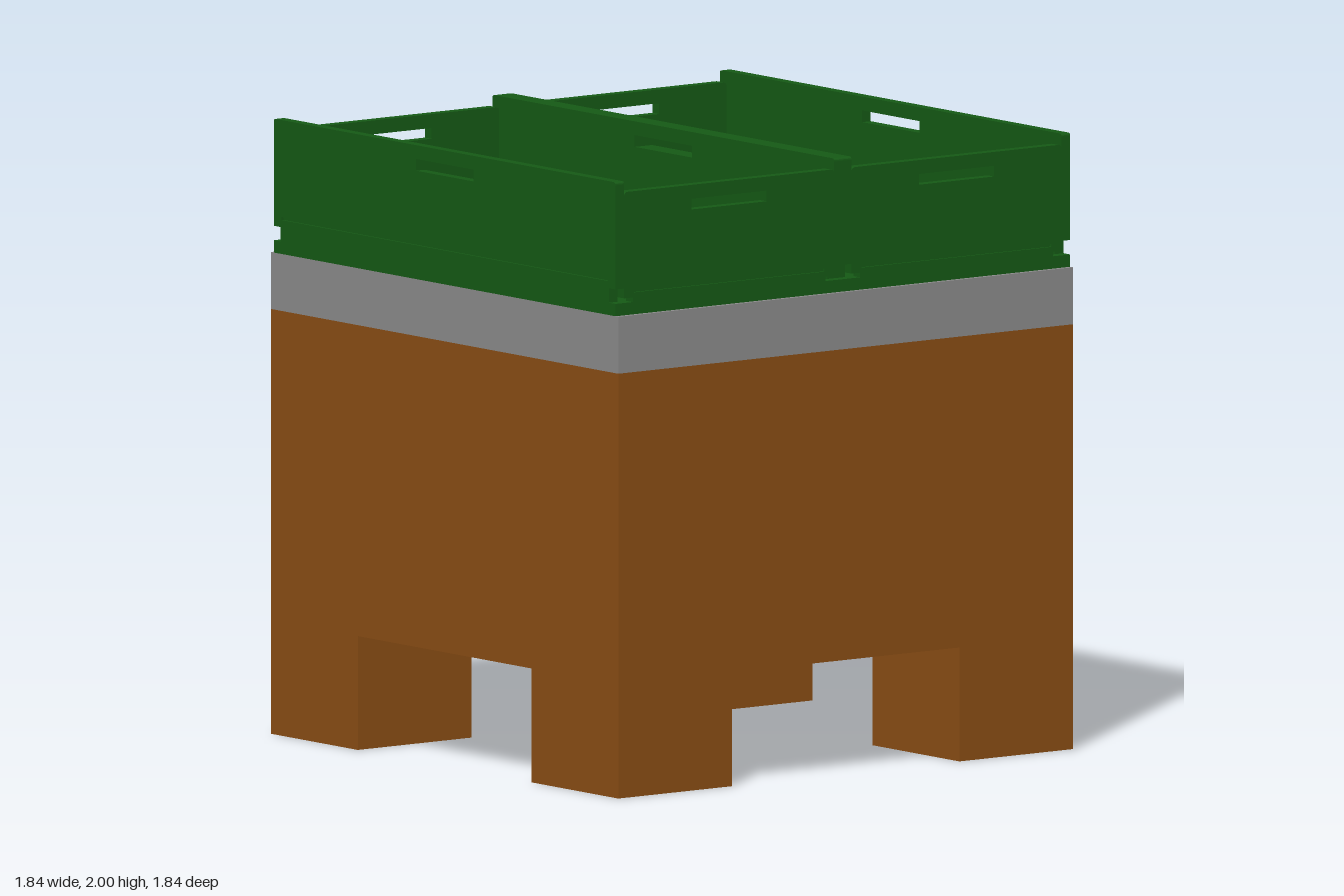
import * as THREE from 'three';

const brown = new THREE.MeshStandardMaterial({ color: 0x8b4e14 });
const grey = new THREE.MeshStandardMaterial({ color: 0x8c8c8c });
const green = new THREE.MeshStandardMaterial({ color: 0x155a15 });

const T = 0.035; // crate wall thickness
const BASE = 1.565; // underside of the crates

function box(name, material, size, centre) {
  const mesh = new THREE.Mesh(new THREE.BoxGeometry(...size), material);
  mesh.name = name;
  mesh.position.set(...centre);
  return mesh;
}

function rectHole(w, y0, y1) {
  return new THREE.Path([
    new THREE.Vector2(-w, y0), new THREE.Vector2(-w, y1),
    new THREE.Vector2(w, y1), new THREE.Vector2(w, y0),
  ]);
}

// Wall with a hand slot, a hinge groove and notched lower ends; outer face at z = 0
function crateWall(name, { half, top, notch, groove, slot, corner }) {
  const [n0, n1] = notch;
  const s = new THREE.Shape();
  s.moveTo(-half, BASE);
  s.lineTo(half, BASE);
  s.lineTo(half, n0);
  s.lineTo(half - T, n0);
  s.lineTo(half - T, n1);
  s.lineTo(half, n1);
  s.lineTo(half, top - corner);
  s.quadraticCurveTo(half, top, half - corner, top);
  s.lineTo(-half + corner, top);
  s.quadraticCurveTo(-half, top, -half, top - corner);
  s.lineTo(-half, n1);
  s.lineTo(-half + T, n1);
  s.lineTo(-half + T, n0);
  s.lineTo(-half, n0);
  s.closePath();
  const grooveHalf = half - T - 0.005;
  s.holes.push(rectHole(0.152, slot[0], slot[1]));
  s.holes.push(rectHole(grooveHalf, groove - 0.005, groove + 0.005));

  const wall = new THREE.Group();
  wall.name = name;
  const geometry = new THREE.ExtrudeGeometry(s, { depth: T, bevelEnabled: false, curveSegments: 4 });
  geometry.translate(0, 0, -T);
  const panel = new THREE.Mesh(geometry, green);
  panel.name = 'panel';
  wall.add(panel);
  // Strip closing the bottom of the hinge groove
  wall.add(box('hingeStrip', green, [grooveHalf * 2, 0.01, T - 0.016], [0, groove, -T / 2]));
  return wall;
}

function crate(name, x) {
  const g = new THREE.Group();
  g.name = name;
  g.position.x = x;
  const end = { half: 0.46 - T, top: 1.965, notch: [1.605, 1.62], groove: 1.641, slot: [1.885, 1.92], corner: 0.015 };
  const side = { half: 0.905, top: 2, notch: [1.605, 1.652], groove: 1.68, slot: [1.917, 1.955], corner: 0.01 };
  ['frontWall', 'leftWall', 'backWall', 'rightWall'].forEach((wallName, i) => {
    const wall = crateWall(wallName, i % 2 ? side : end);
    const angle = (i * Math.PI) / 2;
    const d = i % 2 ? 0.46 : 0.905;
    wall.rotation.y = angle;
    wall.position.set(Math.sin(angle) * d, 0, Math.cos(angle) * d);
    g.add(wall);
  });
  g.add(box('crateFloor', green, [0.92 - 2 * T, 0.03, 1.81 - 2 * T], [0, BASE + 0.015, 0]));
  return g;
}

export function createModel() {
  const model = new THREE.Group();
  model.name = 'crateStand';

  // Wooden stand: block on four square legs
  model.add(box('body', brown, [1.84, 1.01, 1.84], [0, 0.875, 0]));
  for (const x of [-1, 1]) {
    for (const z of [-1, 1]) {
      model.add(box('leg', brown, [0.46, 0.37, 0.46], [x * 0.69, 0.185, z * 0.69]));
    }
  }

  // Grey slab on top
  model.add(box('topSlab', grey, [1.84, 0.185, 1.84], [0, 1.4725, 0]));

  // Two folding crates side by side
  model.add(crate('leftCrate', 0.46), crate('rightCrate', -0.46));
  return model;
}
